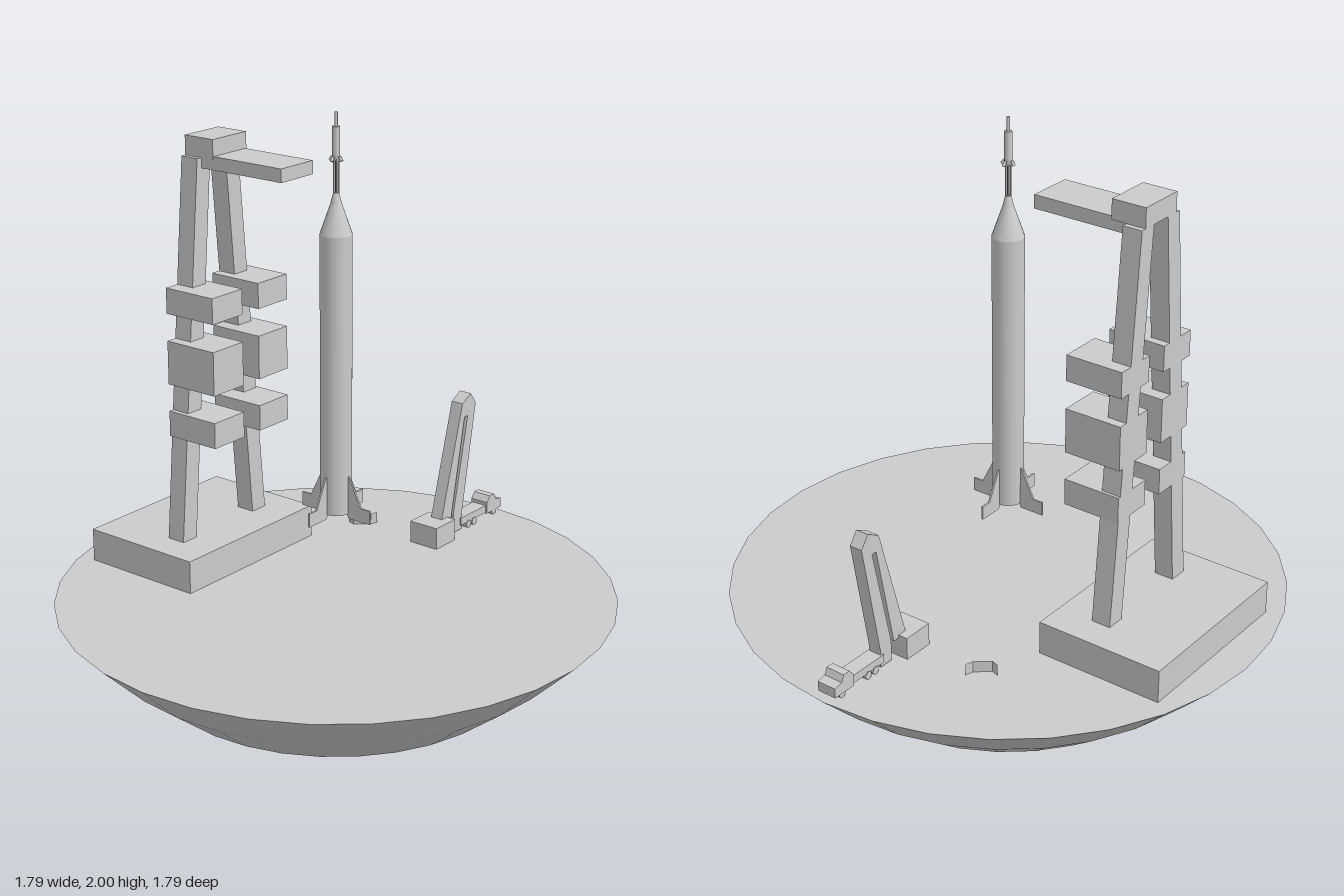
import * as THREE from 'three';

export function createModel() {
  const root = new THREE.Group();
  const grey = new THREE.MeshStandardMaterial({ color: 0xcccccc });
  const thin = new THREE.MeshStandardMaterial({ color: 0xcccccc, side: THREE.DoubleSide });

  const add = (parent, name, geometry, material = grey) => {
    const mesh = new THREE.Mesh(geometry, material);
    mesh.name = name;
    parent.add(mesh);
    return mesh;
  };
  const group = (name) => {
    const g = new THREE.Group();
    g.name = name;
    root.add(g);
    return g;
  };
  // Box given by its lower and upper limits on each axis
  const box = (parent, name, x0, x1, y0, y1, z0, z1) => {
    const mesh = add(parent, name, new THREE.BoxGeometry(x1 - x0, y1 - y0, z1 - z0));
    mesh.position.set((x0 + x1) / 2, (y0 + y1) / 2, (z0 + z1) / 2);
    return mesh;
  };
  // Side outline in x/y, extruded from z0 to z1
  const slab = (parent, name, points, z0, z1) => {
    const shape = new THREE.Shape(points.map(([x, y]) => new THREE.Vector2(x, y)));
    const geometry = new THREE.ExtrudeGeometry(shape, { depth: z1 - z0, bevelEnabled: false });
    geometry.translate(0, 0, z0);
    return add(parent, name, geometry);
  };
  // Round section standing on the y axis of its parent
  const tube = (parent, name, rBottom, rTop, y0, y1, sides = 24) => {
    const mesh = add(parent, name, new THREE.CylinderGeometry(rTop, rBottom, y1 - y0, sides));
    mesh.position.y = (y0 + y1) / 2;
    return mesh;
  };

  // Bowl-shaped ground
  const ground = group('ground');
  const profile = [[0, 0], [0.2, 0.022], [0.4, 0.082], [0.587, 0.182], [0.75, 0.312], [0.895, 0.455]];
  add(ground, 'groundBowl', new THREE.LatheGeometry(profile.map(([r, y]) => new THREE.Vector2(r, y)), 32));
  const disc = add(ground, 'groundTop', new THREE.CircleGeometry(0.895, 32));
  disc.rotation.x = -Math.PI / 2;
  disc.position.y = 0.455;

  // Launch tower
  const tower = group('launchTower');
  box(tower, 'towerBase', -0.305, 0.305, 0.455, 0.565, -0.78, -0.35);
  for (const s of [-1, 1]) {
    const leg = [[0.14, 0.565], [0.203, 0.565], [0.095, 1.81], [0.035, 1.81]];
    const outline = leg.map(([x, y]) => [s * x, y]);
    slab(tower, 'towerLeg', outline, -0.535, -0.47);
    for (const [y0, y1] of [[0.913, 0.998], [1.088, 1.232], [1.322, 1.406]]) {
      const [x0, x1] = s > 0 ? [0.035, 0.175] : [-0.182, -0.042];
      box(tower, 'servicePlatform', x0, x1, y0, y1, -0.535, -0.342);
    }
  }
  box(tower, 'swingArm', -0.075, 0.075, 1.777, 1.82, -0.47, -0.15);
  box(tower, 'towerCap', -0.078, 0.078, 1.81, 1.873, -0.535, -0.42);

  // Rocket
  const rocket = group('rocket');
  tube(rocket, 'rocketBody', 0.05, 0.05, 0.735, 1.63);
  tube(rocket, 'noseCone', 0.05, 0.017, 1.63, 1.725);
  tube(rocket, 'noseTip', 0.017, 0.009, 1.725, 1.757);
  tube(rocket, 'escapeSkirt', 0.007, 0.012, 1.85, 1.87, 12);
  tube(rocket, 'escapeRocket', 0.012, 0.012, 1.87, 1.957, 12);
  tube(rocket, 'escapeSpike', 0.005, 0.005, 1.957, 2.0, 8);
  for (let i = 0; i < 4; i++) {
    const quarter = new THREE.Group();
    quarter.name = 'rocketQuarter';
    quarter.rotation.y = i * Math.PI / 2;
    rocket.add(quarter);
    slab(quarter, 'fin', [[0.045, 0.735], [0.052, 0.72], [0.135, 0.72], [0.135, 0.765],
      [0.1, 0.765], [0.053, 0.86], [0.045, 0.86]], -0.003, 0.003);
    const strut = tube(quarter, 'escapeStrut', 0.0025, 0.0025, 1.75, 1.86, 6);
    strut.position.x = strut.position.z = 0.005;
    const nozzle = tube(quarter, 'escapeNozzle', 0.006, 0.003, 1.853, 1.869, 8);
    nozzle.position.x = 0.017;
    nozzle.rotation.z = 0.6;
  }

  // Crane: pedestal and two leaning booms joined at the top
  const crane = group('crane');
  box(crane, 'cranePedestal', 0.47, 0.575, 0.455, 0.53, -0.054, 0.054);
  slab(crane, 'craneBoom', [[0.54, 0.52], [0.597, 0.52], [0.664, 0.865], [0.682, 0.865],
    [0.61, 0.53], [0.61, 0.46], [0.66, 0.46], [0.66, 0.52], [0.727, 0.9], [0.697, 0.94],
    [0.65, 0.915]], -0.022, 0.022);

  // Truck
  const truck = group('truck');
  box(truck, 'truckBed', 0.65, 0.81, 0.476, 0.503, -0.027, 0.027);
  slab(truck, 'truckCab', [[0.795, 0.474], [0.878, 0.474], [0.878, 0.507], [0.848, 0.513],
    [0.838, 0.535], [0.812, 0.535], [0.795, 0.515]], -0.033, 0.033);
  for (const x of [0.692, 0.725, 0.843]) {
    const axle = add(truck, 'wheelPair', new THREE.CylinderGeometry(0.013, 0.013, 0.06, 12));
    axle.rotation.x = Math.PI / 2;
    axle.position.set(x, 0.469, 0);
  }

  // Small folded screen on the ground
  const screen = group('foldedScreen');
  const bends = [[0.478, -0.322], [0.47, -0.298], [0.507, -0.252], [0.533, -0.245]];
  for (let i = 0; i < bends.length - 1; i++) {
    const [[x0, z0], [x1, z1]] = [bends[i], bends[i + 1]];
    const panel = add(screen, 'screenPanel',
      new THREE.PlaneGeometry(Math.hypot(x1 - x0, z1 - z0), 0.038), thin);
    panel.position.set((x0 + x1) / 2, 0.474, (z0 + z1) / 2);
    panel.rotation.y = Math.atan2(z0 - z1, x1 - x0);
  }
  return root;
}
